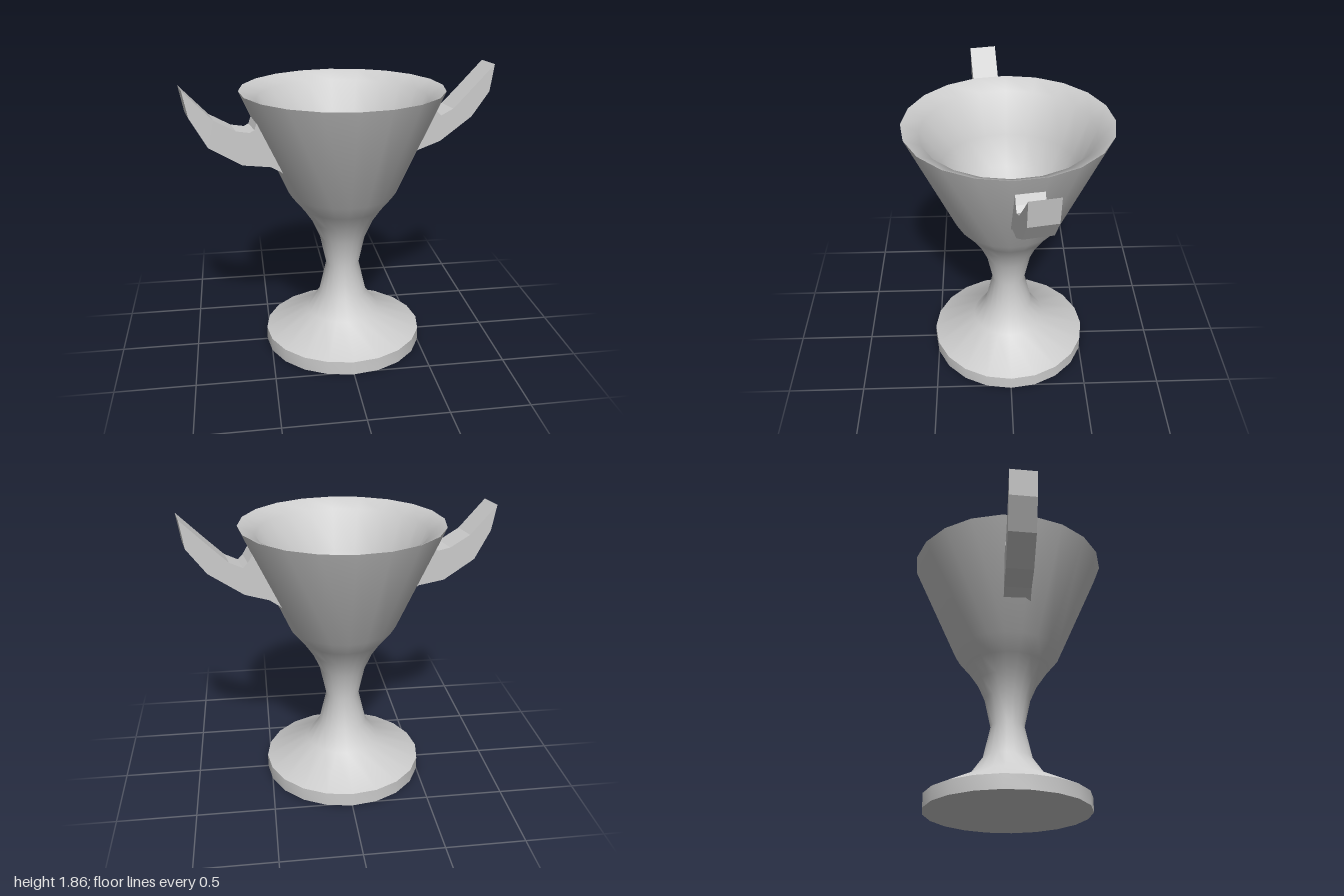
import * as THREE from 'three';
import { toCreasedNormals } from 'three/addons/utils/BufferGeometryUtils.js';

const material = new THREE.MeshStandardMaterial({ color: 0xcccccc });
const points = (list) => list.map(([x, y]) => new THREE.Vector2(x, y));

// Slab cut from a side profile, swept slightly backwards as it leaves the cup
function makeHandle(name, profile) {
  const depth = 0.17;
  const geometry = new THREE.ExtrudeGeometry(new THREE.Shape(points(profile)), {
    depth, bevelEnabled: false,
  });
  geometry.translate(0, 0, -depth);
  geometry.applyMatrix4(new THREE.Matrix4().set(
    1, 0, 0.18, 0,
    0, 1, 0, 0,
    -0.11, 0, 1, 0.05,
    0, 0, 0, 1,
  ));
  geometry.computeVertexNormals();
  const mesh = new THREE.Mesh(geometry, material);
  mesh.name = name;
  return mesh;
}

export function createModel() {
  const group = new THREE.Group();
  group.name = 'goblet';

  // Foot, stem, bowl wall, sloping lip and hollow inside in one profile
  const profile = points([
    [0, 0], [0.525, 0], [0.525, 0.09], [0.245, 0.225], [0.16, 0.345],
    [0.11, 0.56], [0.15, 0.75], [0.2, 0.865], [0.27, 0.97], [0.35, 1.07],
    [0.645, 1.745],
    [0.54, 1.69], [0.43, 1.43], [0.33, 1.23], [0.2, 1.1], [0, 1.05],
  ]);
  const cup = new THREE.Mesh(
    toCreasedNormals(new THREE.LatheGeometry(profile, 20), 0.75), material);
  cup.name = 'cup';
  group.add(cup);

  // Left handle, with the higher tip
  group.add(makeHandle('leftHandle', [
    [0.38, 1.22], [0.44, 1.275], [0.5, 1.32], [0.65, 1.37], [0.86, 1.52],
    [0.975, 1.68], [1, 1.855], [0.83, 1.68], [0.73, 1.58], [0.65, 1.54],
    [0.62, 1.57], [0.59, 1.62], [0.56, 1.62],
  ]));

  // Right handle, turned to the other side
  const rightHandle = makeHandle('rightHandle', [
    [0.38, 1.22], [0.44, 1.27], [0.5, 1.305], [0.67, 1.33], [0.87, 1.455],
    [0.97, 1.64], [1, 1.805], [0.83, 1.62], [0.7, 1.545], [0.62, 1.53],
    [0.59, 1.545], [0.575, 1.59], [0.54, 1.59],
  ]);
  rightHandle.rotation.y = Math.PI;
  group.add(rightHandle);

  return group;
}
